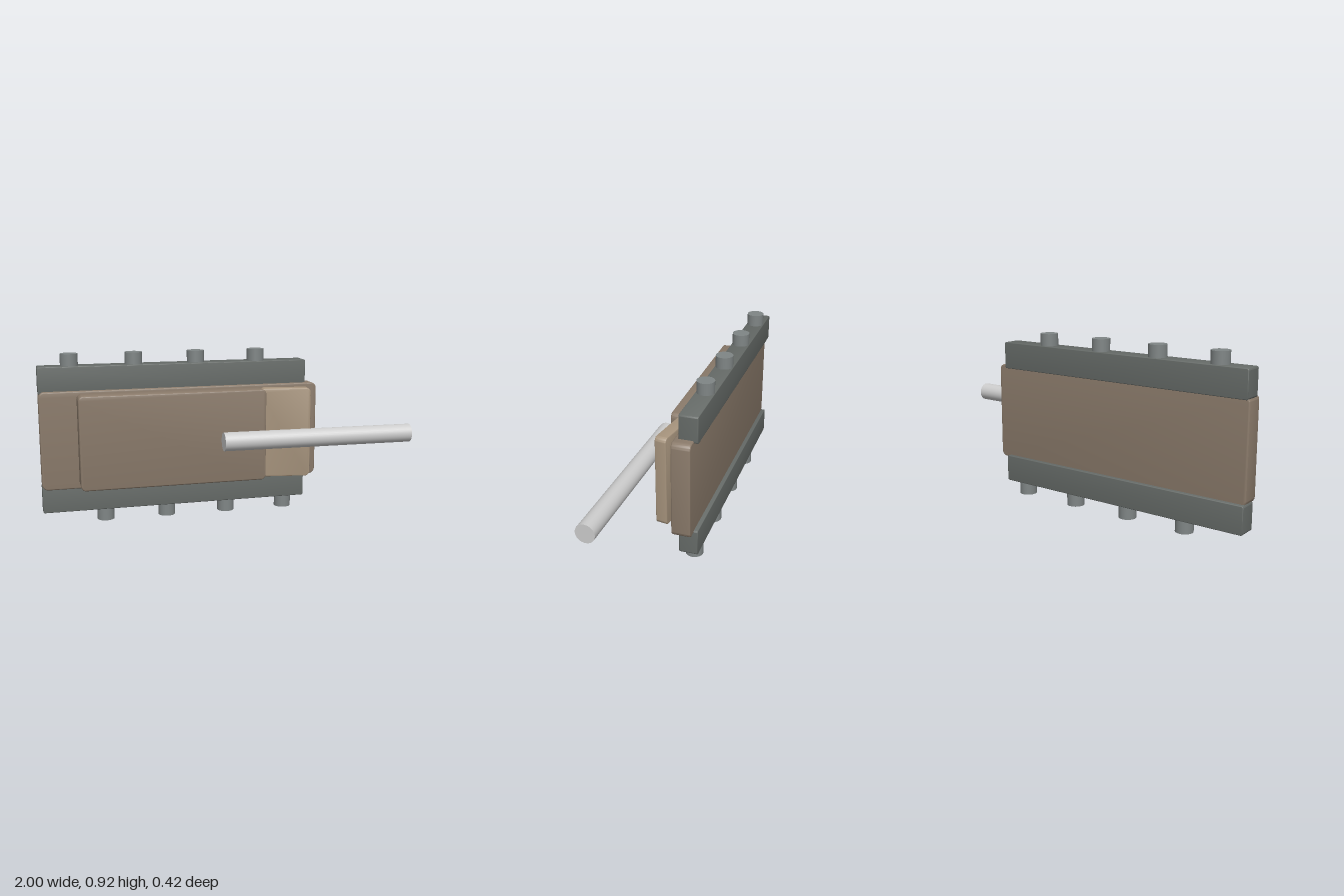
import * as THREE from 'three';
import { toCreasedNormals } from 'three/addons/utils/BufferGeometryUtils.js';

const mat = (color) => new THREE.MeshStandardMaterial({ color });

// Slab centred on the origin: rounded corners in XY, small bevel on front and back edges
function slabGeometry(w, h, d, r, bevel) {
  const x = w / 2 - bevel, y = h / 2 - bevel;
  const s = new THREE.Shape();
  s.moveTo(-x + r, -y);
  s.lineTo(x - r, -y);
  s.absarc(x - r, -y + r, r, -Math.PI / 2, 0);
  s.lineTo(x, y - r);
  s.absarc(x - r, y - r, r, 0, Math.PI / 2);
  s.lineTo(-x + r, y);
  s.absarc(-x + r, y - r, r, Math.PI / 2, Math.PI);
  s.lineTo(-x, -y + r);
  s.absarc(-x + r, -y + r, r, Math.PI, Math.PI * 1.5);
  const g = new THREE.ExtrudeGeometry(s, {
    depth: d - 2 * bevel, bevelEnabled: true, bevelSize: bevel,
    bevelThickness: bevel, bevelSegments: 3, curveSegments: 6,
  });
  g.translate(0, 0, -d / 2 + bevel);
  return toCreasedNormals(g, 0.6);
}

export function createModel() {
  const group = new THREE.Group();
  const brown = mat(0x8b7b6b), tan = mat(0xa8957e);
  const darkGrey = mat(0x666b68), pegGrey = mat(0x7f8585), rodGrey = mat(0xcccccc);

  const add = (name, geometry, material, x, y, z) => {
    const m = new THREE.Mesh(geometry, material);
    m.name = name;
    m.position.set(x, y, z);
    group.add(m);
    return m;
  };

  // Back plate, raised panel and the angled flap beside it
  add('backPlate', slabGeometry(1.54, 0.53, 0.1, 0.025, 0.007), brown, -0.23, 0.463, -0.138);
  add('raisedPanel', slabGeometry(1.015, 0.507, 0.115, 0.02, 0.007), brown, -0.295, 0.463, -0.035);
  const flap = add('angledFlap', slabGeometry(0.28, 0.5, 0.062, 0.02, 0.005), tan, 0.338, 0.463, -0.037);
  flap.rotation.y = -0.165;

  // Upper and lower rails, each with a staggered row of pegs
  const railGeometry = slabGeometry(1.48, 0.145, 0.1, 0.006, 0.004);
  const pegGeometry = new THREE.CylinderGeometry(0.047, 0.047, 0.08, 32);
  const rails = [
    { side: 'upper', y: 0.785, pegY: 0.882, firstX: -0.83 },
    { side: 'lower', y: 0.139, pegY: 0.04, firstX: -0.66 },
  ];
  for (const { side, y, pegY, firstX } of rails) {
    add(side + 'Rail', railGeometry, darkGrey, -0.26, y, -0.16);
    for (let i = 0; i < 4; i++) {
      add(side + 'Peg' + (i + 1), pegGeometry, pegGrey, firstX + i * 0.343, pegY, -0.16);
    }
  }

  // Free-standing rod in front, slightly turned outwards
  const rodGeometry = new THREE.CylinderGeometry(0.05, 0.05, 1.058, 32);
  rodGeometry.rotateZ(Math.PI / 2);
  const rod = add('rod', rodGeometry, rodGrey, 0.47, 0.463, 0.149);
  rod.rotation.y = -0.022;

  return group;
}
